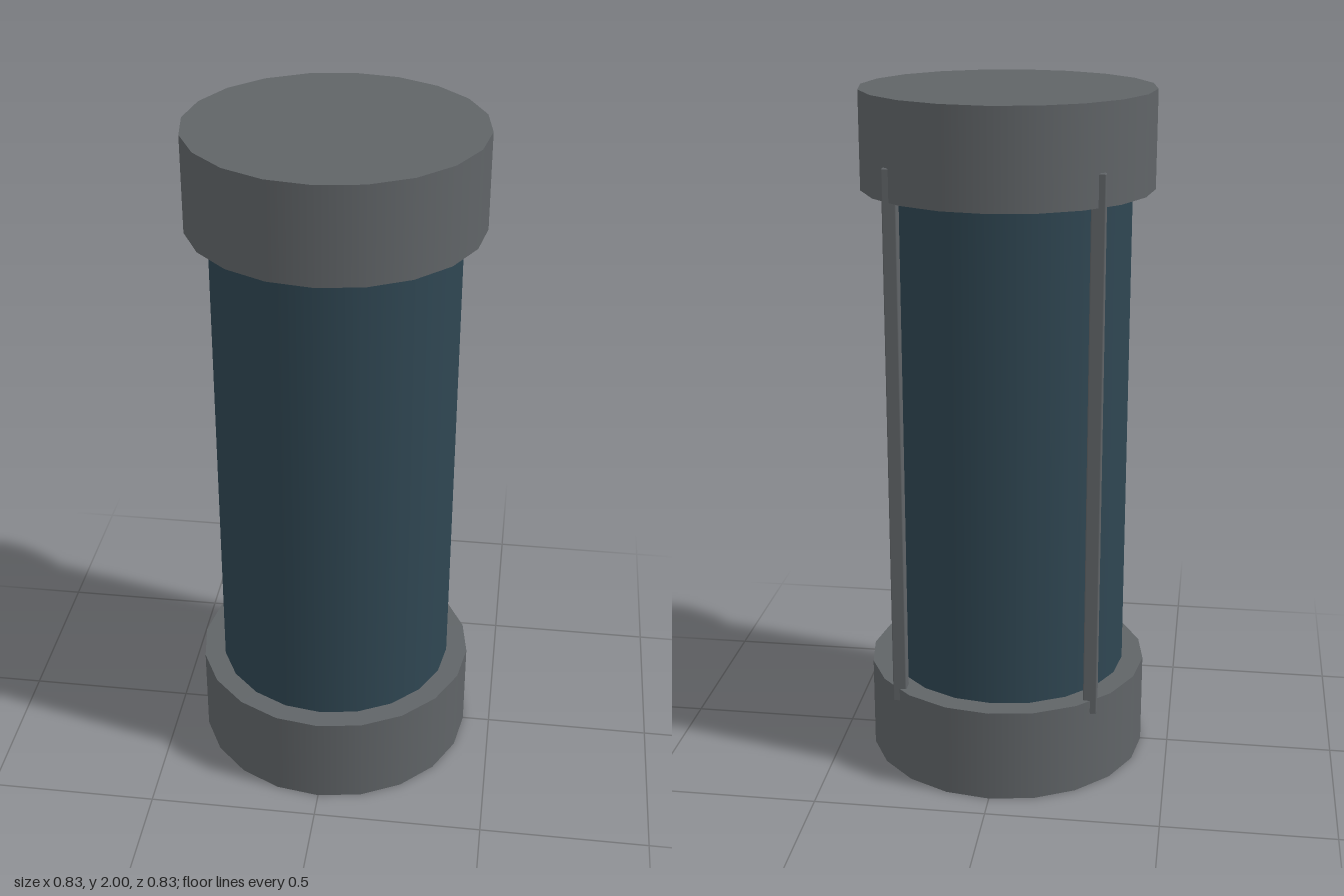
import * as THREE from 'three';
import { RoundedBoxGeometry } from 'three/addons/geometries/RoundedBoxGeometry.js';

export function createModel() {
  const model = new THREE.Group();
  const metal = new THREE.MeshStandardMaterial({ color: 0x606467 });
  const glass = new THREE.MeshStandardMaterial({ color: 0x2f4652 });

  function add(name, geometry, material, x, y, z) {
    const mesh = new THREE.Mesh(geometry, material);
    mesh.name = name;
    mesh.position.set(x, y, z);
    model.add(mesh);
  }

  // Tank body between the two caps
  add('tankBody', new THREE.CylinderGeometry(0.353, 0.353, 1.5, 20), glass, 0, 1, 0);

  // Matching bottom and top caps
  const cap = new THREE.CylinderGeometry(0.417, 0.417, 0.277, 20);
  add('bottomCap', cap, metal, 0, 0.1385, 0);
  add('topCap', cap, metal, 0, 1.8615, 0);

  // Two square rods at the back, bridging the caps
  const rod = new RoundedBoxGeometry(0.04, 1.58, 0.04, 1, 0.004);
  add('leftRod', rod, metal, 0.281, 1.025, -0.281);
  add('rightRod', rod, metal, -0.281, 1.025, -0.281);

  return model;
}
